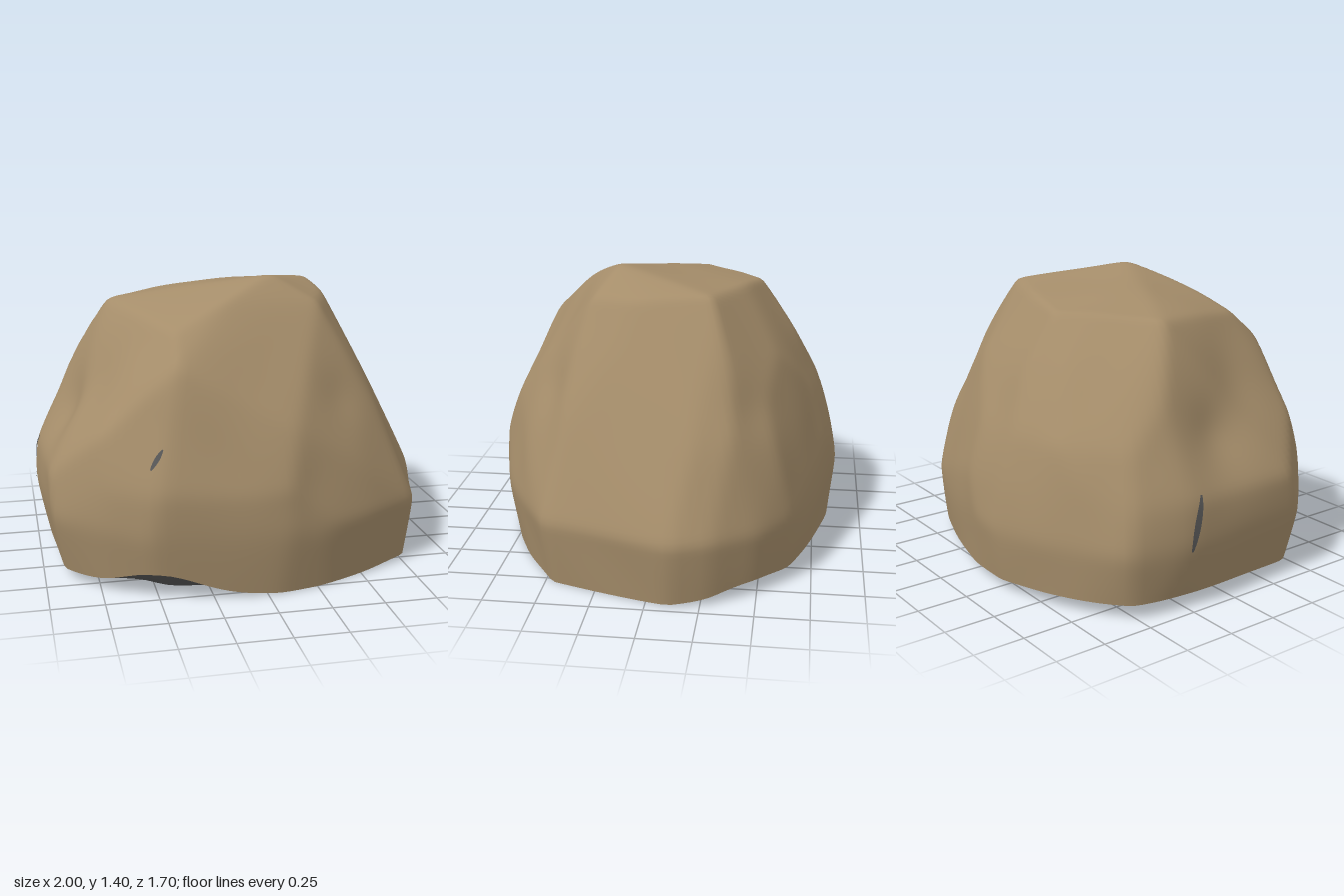
import * as THREE from 'three';
import { ConvexGeometry } from 'three/addons/geometries/ConvexGeometry.js';
import { mergeVertices } from 'three/addons/utils/BufferGeometryUtils.js';

const CENTRE = new THREE.Vector3(0, 0.5, 0);

// Corners of the boulder, as [x, z] pairs by height
const LEVELS = [
  [-0.1, [[0.94, -0.1], [0.76, 0.45], [0.53, 0.61], [0.3, 0.72], [0.05, 0.78], [-0.3, 0.77], [-0.5, 0.73], [-0.7, 0.6],
    [-0.87, 0.38], [-0.9, -0.1], [-0.88, -0.49], [-0.73, -0.63], [-0.53, -0.74], [-0.3, -0.81], [0.0, -0.8], [0.3, -0.72],
    [0.57, -0.62], [0.78, -0.45], [0.9, -0.28]]],
  [0.32, [[1.0, -0.12], [0.96, -0.3], [0.9, 0.16], [0.81, 0.5], [0.55, 0.67], [0.32, 0.78], [0.1, 0.845], [0.0, 0.845], [-0.52, 0.8],
    [-0.73, 0.67], [-0.95, 0.44], [-1.0, -0.26], [-0.925, -0.56], [-0.75, -0.68], [-0.55, -0.78], [-0.3, -0.855], [-0.1, -0.855],
    [0.35, -0.73], [0.62, -0.65], [0.82, -0.5]]],
  [0.52, [[0.91, -0.15], [0.87, -0.33], [0.75, 0.43], [0.5, 0.65], [0.1, 0.84], [-0.5, 0.8], [-0.72, 0.66], [-0.96, 0.36], [-0.985, -0.25],
    [-0.9, -0.52], [-0.7, -0.67], [-0.3, -0.825], [0.0, -0.815], [0.62, -0.6]]],
  [0.76, [[0.795, -0.2], [0.75, -0.38], [0.64, 0.42], [0.15, 0.74], [-0.72, 0.58], [-0.55, -0.68], [-0.3, -0.75],
    [0.02, -0.74], [0.56, -0.54], [-0.81, -0.47]]],
];
// Corners of the crown, as [x, y, z]
const CROWN = [
  [0.645, 1.0, -0.25], [0.49, 1.0, 0.4], [-0.38, 1.06, 0.65], [-0.2, 1.02, -0.63], [-0.45, 1.02, -0.54], [0.28, 1.02, -0.55],
  [-0.78, 0.97, -0.25], [0.44, 1.32, -0.25], [0.44, 1.3, 0.1], [0.35, 1.28, 0.33], [0.14, 1.405, 0.22], [-0.1, 1.32, 0.38],
  [-0.38, 1.19, 0.5], [-0.615, 1.265, -0.13], [-0.2, 1.28, -0.45], [0.1, 1.31, -0.38], [0.58, 1.07, -0.34],
];
// Shallow hollows: position, depth, sharpness
const DENTS = [
  [[-0.86, 0.76, 0.0], 0.06, 45], [[-0.7, 0.92, 0.25], 0.035, 40], [[0.62, 0.85, -0.48], 0.015, 70],
  [[0.2, 0.5, 0.8], 0.01, 60], [[-0.1, 0.85, -0.7], 0.01, 50], [[0.4, 0.85, 0.5], 0.012, 70],
].map(([p, depth, k]) => [new THREE.Vector3(...p).sub(CENTRE).normalize(), depth, k]);

// Distinct facet planes of the hull, leaving out the underside
function facetPlanes() {
  const corners = LEVELS.flatMap(([y, ring]) => ring.map(([x, z]) => new THREE.Vector3(x, y, z)));
  CROWN.forEach((p) => corners.push(new THREE.Vector3(...p)));
  const pos = new ConvexGeometry(corners).getAttribute('position');
  const planes = [];
  for (let i = 0; i < pos.count; i += 3) {
    const [a, b, c] = [0, 1, 2].map((k) => new THREE.Vector3().fromBufferAttribute(pos, i + k).sub(CENTRE));
    const n = b.clone().sub(a).cross(c.clone().sub(a)).normalize();
    const d = n.dot(a);
    if (n.y < -0.5 || planes.some((p) => p.n.dot(n) > 0.998 && Math.abs(p.d - d) < 0.015)) continue;
    planes.push({ n, d });
  }
  return planes;
}

// Point on the weathered surface in a direction: facets blended at their edges
function surfacePoint(planes, dir, lift = 0) {
  const power = 150;
  let sum = 0;
  for (const { n, d } of planes) sum += Math.max(0, n.dot(dir) / d) ** power;
  let r = 1.006 * sum ** (-1 / power) + lift;
  for (const [axis, depth, k] of DENTS) r -= depth * Math.exp(-k * (1 - axis.dot(dir)));
  r += 0.004 * Math.sin(9 * dir.x + 4 * dir.y) * Math.sin(8 * dir.z - 5 * dir.y + 1);
  return dir.clone().multiplyScalar(r).add(CENTRE);
}

const direction = (az, el) =>
  new THREE.Vector3(Math.cos(el) * Math.cos(az), Math.sin(el), Math.cos(el) * Math.sin(az));

// Gently tilted underside, with raised rim at two places
const baseHeight = (x, z) => Math.max(0.003, 0.03 - 0.035 * x - 0.025 * z);
const bump = (x, z, cx, cz, k) => Math.exp(-k * ((x - cx) ** 2 + (z - cz) ** 2));
const rimHeight = (x, z) =>
  baseHeight(x, z) + 0.105 * bump(x, z, -0.5, 0.76, 16) + 0.06 * bump(x, z, 0.82, -0.48, 12);

// Smooth surface through equal rows of points
function loft(rows) {
  const cols = rows[0].length;
  const index = [];
  for (let i = 0; i < rows.length - 1; i++) {
    for (let j = 0; j < cols - 1; j++) {
      const a = i * cols + j;
      index.push(a, a + 1, a + cols, a + 1, a + cols + 1, a + cols);
    }
  }
  let geo = new THREE.BufferGeometry().setFromPoints(rows.flat());
  geo.setIndex(index);
  geo = mergeVertices(geo, 1e-5);
  geo.computeVertexNormals();
  return geo;
}

export function createModel() {
  const stone = new THREE.MeshStandardMaterial({ color: 0xa58d6a });
  stone.name = 'tan stone';
  const under = new THREE.MeshStandardMaterial({ color: 0x595959, side: THREE.DoubleSide });
  under.name = 'dark grey';
  const group = new THREE.Group();
  group.name = 'boulder';
  const add = (name, geo, mat) => {
    const mesh = new THREE.Mesh(geo, mat);
    mesh.name = name;
    group.add(mesh);
  };
  const planes = facetPlanes();
  const AROUND = 144, DOWN = 80;

  // Elevation at which each meridian meets the underside
  const rimElevation = (az) => {
    let lo = -0.8, hi = 0;
    for (let k = 0; k < 24; k++) {
      const mid = (lo + hi) / 2;
      const p = surfacePoint(planes, direction(az, mid));
      if (p.y < rimHeight(p.x, p.z)) lo = mid; else hi = mid;
    }
    return hi;
  };
  const azimuths = Array.from({ length: AROUND + 1 }, (_, j) => ((j % AROUND) / AROUND) * Math.PI * 2);
  const rims = azimuths.map(rimElevation);

  // Stone body, from the crown down to the rim
  const rows = [];
  for (let i = 0; i <= DOWN; i++) {
    rows.push(azimuths.map((az, j) =>
      surfacePoint(planes, direction(az, THREE.MathUtils.lerp(Math.PI / 2, rims[j], i / DOWN)))));
  }
  add('stoneBody', loft(rows), stone);

  // Underside, from the rim to the middle
  const rim = rows[DOWN];
  const inner = [0.85, 0.5, 0].map((s) =>
    rim.map((p) => new THREE.Vector3(p.x * s, baseHeight(p.x * s, p.z * s), p.z * s)));
  add('underside', loft([rim, ...inner]), under);

  // Thin cracks lying on the surface
  const crack = (name, from, to, width) => {
    const a = new THREE.Vector3(...from), b = new THREE.Vector3(...to);
    const side = b.clone().sub(a).cross(a.clone().sub(CENTRE)).normalize();
    const strip = [-1, 1].map((s) => Array.from({ length: 9 }, (_, i) => {
      const t = i / 8;
      const p = a.clone().lerp(b, t).addScaledVector(side, s * width * Math.sin(Math.PI * (0.1 + 0.8 * t)));
      return surfacePoint(planes, p.sub(CENTRE).normalize(), 0.004);
    }));
    add(name, loft(strip), under);
  };
  crack('leftCrack', [-0.99, 0.3, -0.26], [-0.98, 0.55, -0.2], 0.018);
  crack('frontCrack', [-0.54, 0.63, 0.76], [-0.48, 0.72, 0.75], 0.012);
  return group;
}
